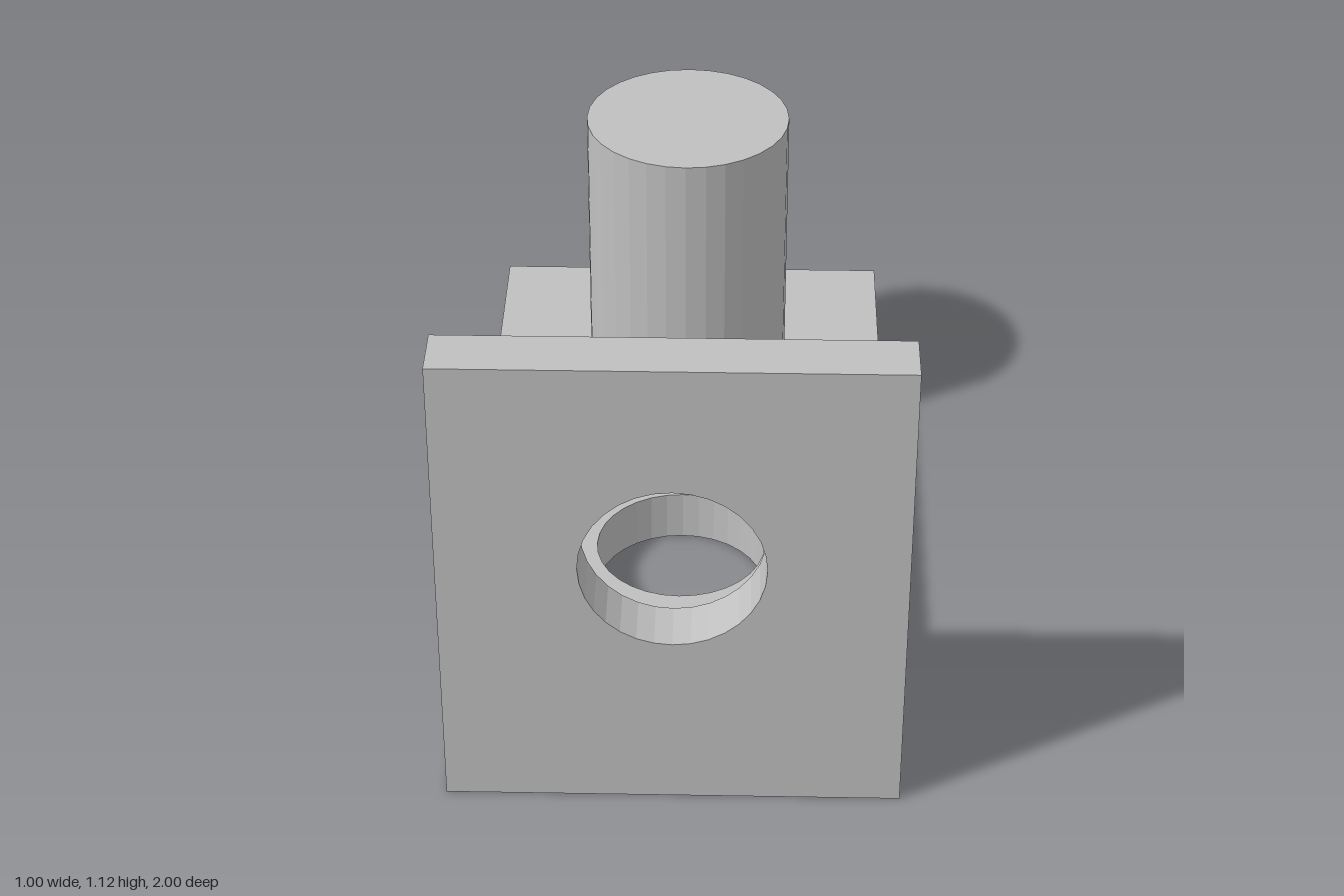
import * as THREE from 'three';

const WIDTH = 1, THICK = 0.125, HOLE_RADIUS = 0.2;

// Flat plate in the xy plane from y0 to y1, with one round hole, extruded along +z
function holedPlate(y0, y1, holeY) {
  const shape = new THREE.Shape();
  shape.moveTo(-WIDTH / 2, y0);
  shape.lineTo(WIDTH / 2, y0);
  shape.lineTo(WIDTH / 2, y1);
  shape.lineTo(-WIDTH / 2, y1);
  shape.closePath();
  const hole = new THREE.Path();
  hole.absarc(0, holeY, HOLE_RADIUS, 0, Math.PI * 2, true);
  shape.holes.push(hole);
  return new THREE.ExtrudeGeometry(shape, { depth: THICK, bevelEnabled: false, curveSegments: 16 });
}

export function createModel() {
  const group = new THREE.Group();
  group.name = 'bracket';
  const grey = new THREE.MeshStandardMaterial({ color: 0xc0c0c0, flatShading: true });
  grey.name = 'grey';

  const add = (name, geometry) => {
    const mesh = new THREE.Mesh(geometry, grey);
    mesh.name = name;
    group.add(mesh);
  };

  // Horizontal base, stopping at the back of the upright plate
  add('basePlate', holedPlate(-0.875, 1, -0.25).rotateX(-Math.PI / 2));

  // Upright plate at the front
  add('uprightPlate', holedPlate(0, 1.125, 0.625).translate(0, 0, 1 - THICK));

  // Round post standing on the rear of the base
  add('post', new THREE.CylinderGeometry(0.25, 0.25, 0.75, 32).translate(0, THICK + 0.375, -0.5));

  return group;
}
